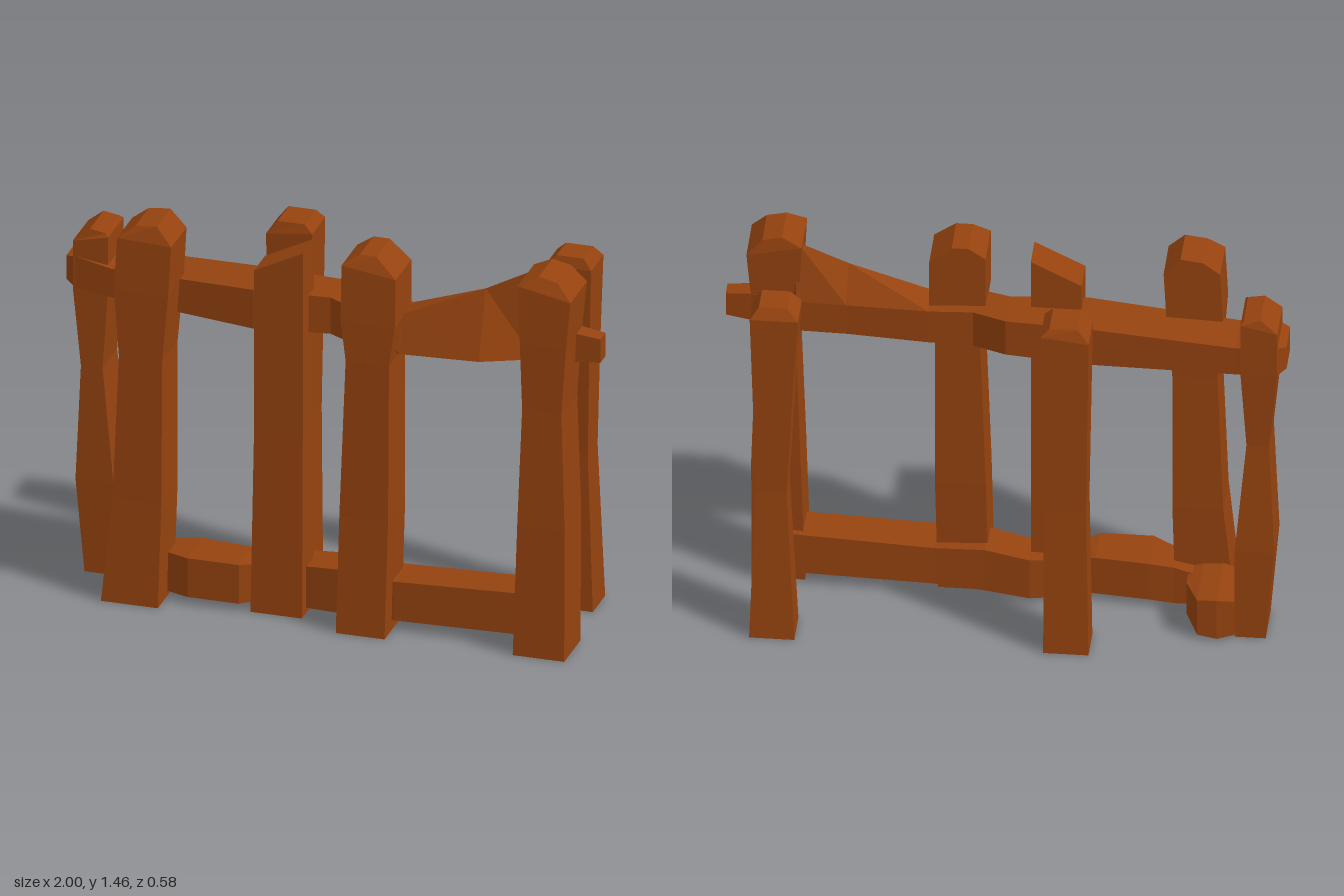
import * as THREE from 'three';

const wood = new THREE.MeshStandardMaterial({ color: 0x96430f, flatShading: true });
wood.name = 'brown wood';

// Skin a row of four-cornered rings, closing both ends with flat caps
function loft(name, rings) {
  const pos = [];
  const quad = (a, b, c, d) => pos.push(...a, ...b, ...c, ...a, ...c, ...d);
  for (let k = 0; k < rings.length - 1; k++) {
    const a = rings[k], b = rings[k + 1];
    for (let i = 0; i < 4; i++) {
      const j = (i + 1) % 4;
      quad(a[i], a[j], b[j], b[i]);
    }
  }
  quad(...[...rings[0]].reverse());
  quad(...rings[rings.length - 1]);
  const geo = new THREE.BufferGeometry();
  geo.setAttribute('position', new THREE.Float32BufferAttribute(pos, 3));
  geo.computeVertexNormals();
  const mesh = new THREE.Mesh(geo, wood);
  mesh.name = name;
  return mesh;
}

// Upright: each section is [x0, x1, z0, z1, yLow-x side, yHigh-x side]
const post = (name, sections) => loft(name, sections.map(([x0, x1, z0, z1, ya, yb = ya]) => [
  [x0, ya, z1], [x1, yb, z1], [x1, yb, z0], [x0, ya, z0],
]));

// Rail: each section is [x, y0, y1, z0, z1, front top y, front top z]
const rail = (name, sections) => loft(name, sections.map(([x, y0, y1, z0, z1, yf = y1, zf = z1]) => [
  [x, y0, z1], [x, y0, z0], [x, y1, z0], [x, yf, zf],
]));

export function createModel() {
  const group = new THREE.Group();
  group.name = 'fence';

  group.add(
    // Front posts with chipped, rounded tops
    post('endPost', [
      [-0.93, -0.82, -0.12, 0.06, 0],
      [-0.96, -0.82, -0.12, 0.07, 0.36],
      [-0.94, -0.86, -0.10, 0.07, 0.8],
      [-0.97, -0.84, -0.11, 0.07, 1.1],
      [-0.97, -0.84, -0.11, 0.07, 1.28, 1.31],
      [-0.91, -0.85, -0.10, 0.06, 1.33, 1.32],
    ]),
    post('frontPostOne', [
      [-0.80, -0.59, 0.09, 0.28, 0],
      [-0.76, -0.58, 0.08, 0.27, 0.4],
      [-0.74, -0.58, 0.08, 0.26, 0.95],
      [-0.76, -0.56, 0.07, 0.255, 1.2],
      [-0.75, -0.55, 0.07, 0.25, 1.40, 1.39],
      [-0.69, -0.61, 0.07, 0.23, 1.445, 1.455],
    ]),
    post('slantedPost', [
      [-0.27, -0.08, 0.08, 0.21, 0],
      [-0.26, -0.08, 0.07, 0.20, 0.7],
      [-0.26, -0.08, 0.07, 0.20, 1.32, 1.41],
    ]),
    post('frontPostTwo', [
      [0.07, 0.25, 0.09, 0.29, 0],
      [0.08, 0.26, 0.08, 0.28, 0.45],
      [0.10, 0.26, 0.08, 0.27, 1.05],
      [0.08, 0.28, 0.07, 0.265, 1.2],
      [0.08, 0.28, 0.07, 0.255, 1.41, 1.38],
      [0.14, 0.20, 0.07, 0.23, 1.45],
    ]),
    post('frontPostThree', [
      [0.72, 0.91, 0.09, 0.28, 0],
      [0.735, 0.91, 0.08, 0.275, 0.5],
      [0.75, 0.895, 0.08, 0.265, 0.95],
      [0.74, 0.91, 0.07, 0.26, 1.2],
      [0.73, 0.925, 0.06, 0.255, 1.42, 1.38],
      [0.80, 0.87, 0.07, 0.23, 1.455, 1.44],
    ]),

    // Loose posts standing behind the rails
    post('backPostOne', [
      [-0.32, -0.16, -0.29, -0.15, 0],
      [-0.31, -0.16, -0.275, -0.15, 0.6],
      [-0.32, -0.15, -0.285, -0.13, 1.31, 1.33],
      [-0.28, -0.18, -0.27, -0.14, 1.36],
    ]),
    post('backPostTwo', [
      [0.72, 0.88, -0.295, -0.15, 0],
      [0.75, 0.86, -0.27, -0.155, 0.6],
      [0.73, 0.87, -0.27, -0.14, 1.0],
      [0.71, 0.88, -0.275, -0.13, 1.33],
      [0.75, 0.85, -0.25, -0.14, 1.37],
    ]),

    // Upper rail, flaring up into the last front post
    rail('upperRail', [
      [-1.0, 1.12, 1.21, -0.08, 0.05],
      [-0.96, 1.10, 1.22, -0.11, 0.07],
      [-0.82, 1.09, 1.20, -0.09, 0.09],
      [-0.28, 1.07, 1.22, -0.05, 0.15],
      [0.0, 1.08, 1.22, -0.03, 0.13],
      [0.12, 1.07, 1.21, 0.03, 0.18],
      [0.28, 1.07, 1.20, 0.035, 0.20, 1.21, 0.16],
      [0.57, 1.08, 1.20, 0.045, 0.20, 1.33, 0.12],
      [0.75, 1.08, 1.20, 0.05, 0.12, 1.42, 0.10],
      [0.82, 1.09, 1.20, 0.05, 0.16],
      [0.91, 1.10, 1.21, 0.07, 0.14],
      [1.0, 1.11, 1.20, 0.08, 0.14],
    ]),

    // Lower rail in broken, crooked pieces
    rail('lowerRailStub', [
      [-0.82, 0.02, 0.16, -0.14, 0.07],
      [-0.76, 0.01, 0.17, -0.155, 0.09],
      [-0.69, 0.02, 0.165, -0.15, 0.12],
      [-0.64, 0.02, 0.15, -0.02, 0.15],
    ]),
    rail('lowerRailLeft', [
      [-0.68, 0.03, 0.15, 0.03, 0.15],
      [-0.59, 0.02, 0.17, 0.04, 0.17],
      [-0.50, 0.03, 0.18, 0.04, 0.22],
      [-0.31, 0.03, 0.18, 0.06, 0.22],
      [-0.25, 0.03, 0.17, 0.07, 0.17],
    ]),
    rail('lowerRailRight', [
      [-0.24, 0.02, 0.17, 0.05, 0.15],
      [-0.08, 0.02, 0.18, 0.02, 0.16],
      [0.08, 0.03, 0.20, 0.04, 0.19],
      [0.26, 0.04, 0.19, 0.05, 0.21],
      [0.78, 0.05, 0.21, 0.06, 0.21],
    ]),
  );
  return group;
}
